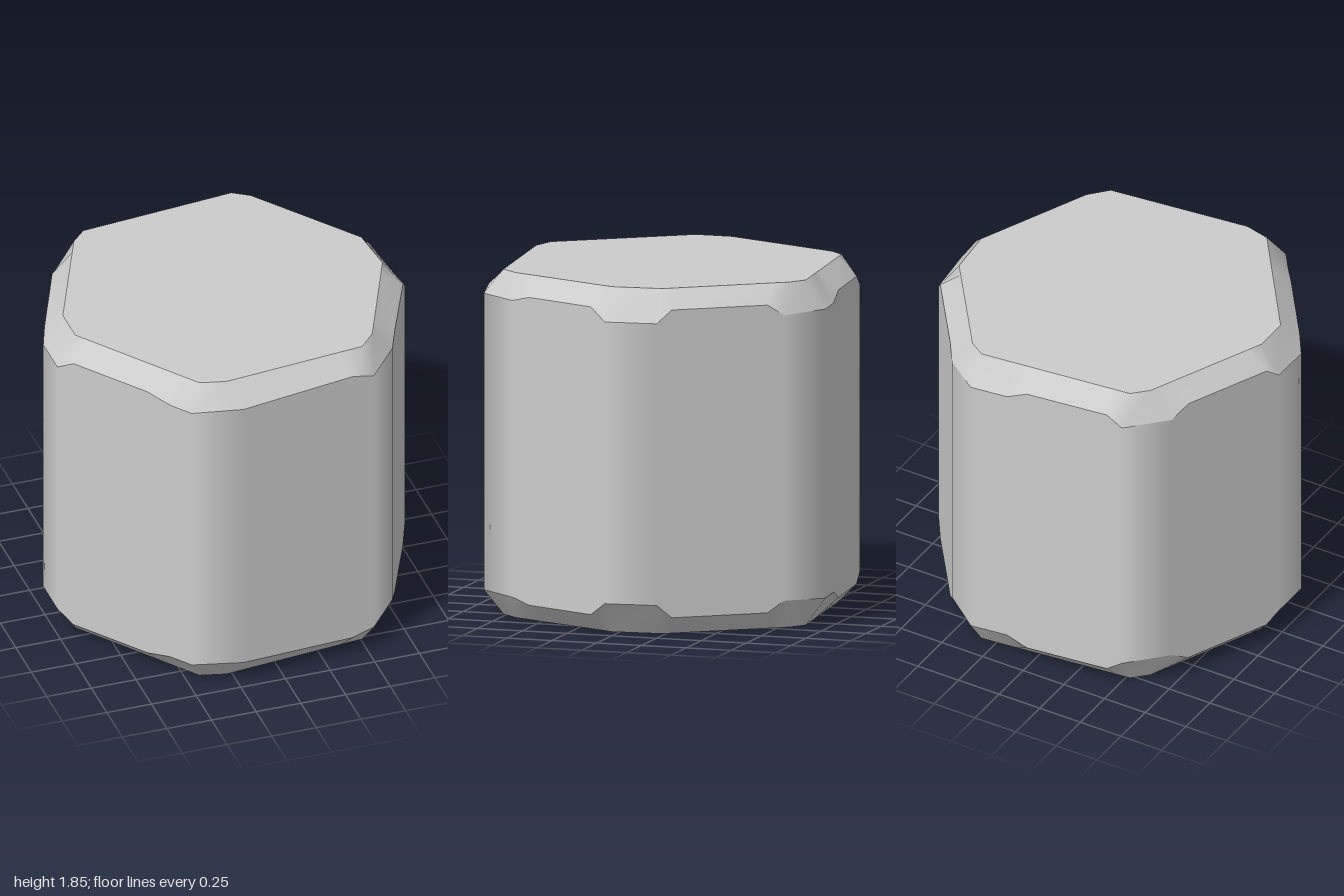
import * as THREE from 'three';

const HEIGHT = 1.85;

// Six main sides, in order around the body; the gaps between them are the narrow corner facets.
// outer/inner: x,z of the side's start and end on the wall and on the cap.
// rim: [position along side, shoulder height]
const SIDES = [
  { outer: [0.55, -0.81, 0.97, -0.24], inner: [0.43, -0.80, 0.85, -0.23],
    rim: [[0, 1.69], [0.13, 1.75], [0.88, 1.75], [1, 1.68]] },
  { outer: [1.0, 0.04, 0.72, 0.65], inner: [0.875, 0.04, 0.60, 0.67],
    rim: [[0, 1.68], [0.15, 1.75], [0.82, 1.75], [1, 1.72]] },
  { outer: [0.54, 0.87, -0.22, 0.96], inner: [0.51, 0.77, -0.28, 0.855],
    rim: [[0, 1.72], [0.16, 1.75], [1, 1.725]] },
  { outer: [-0.49, 0.90, -1.0, 0.20], inner: [-0.42, 0.82, -0.89, 0.17],
    rim: [[0, 1.72], [0.16, 1.72], [0.33, 1.75], [0.88, 1.75], [1, 1.69]] },
  { outer: [-1.0, -0.03, -0.72, -0.67], inner: [-0.89, -0.03, -0.60, -0.69],
    rim: [[0, 1.69], [0.12, 1.75], [0.85, 1.75], [1, 1.69]] },
  { outer: [-0.53, -0.87, 0.34, -0.97], inner: [-0.52, -0.77, 0.34, -0.86],
    rim: [[0, 1.69], [0.1, 1.75], [0.63, 1.75], [0.76, 1.70], [1, 1.70]] },
];

const along = ([x0, z0, x1, z1], t, y) =>
  new THREE.Vector3(x0 + (x1 - x0) * t, y, z0 + (z1 - z0) * t);

const flip = (ring) => ring.map((p) => new THREE.Vector3(p.x, HEIGHT - p.y, p.z));

// Band of quads between a lower and an upper ring
function band(lower, upper) {
  const n = lower.length;
  const index = [];
  for (let i = 0; i < n; i++) {
    const j = (i + 1) % n;
    index.push(j, i, n + i, j, n + i, n + j);
  }
  const geo = new THREE.BufferGeometry().setFromPoints([...lower, ...upper]);
  geo.setIndex(index);
  geo.computeVertexNormals();
  return geo;
}

// Flat cap as a fan around the centre
function cap(ring, up) {
  const n = ring.length;
  const index = [];
  for (let i = 0; i < n; i++) {
    const j = (i + 1) % n;
    index.push(n, up ? j : i, up ? i : j);
  }
  const geo = new THREE.BufferGeometry().setFromPoints([...ring, new THREE.Vector3(0, ring[0].y, 0)]);
  geo.setIndex(index);
  geo.computeVertexNormals();
  return geo;
}

export function createModel() {
  const group = new THREE.Group();
  group.name = 'facetedBlock';
  const material = new THREE.MeshStandardMaterial({ color: 0xcccccc });
  const add = (name, geo) => {
    const mesh = new THREE.Mesh(geo, material);
    mesh.name = name;
    group.add(mesh);
  };

  // Rings for the upper half; the lower half mirrors them
  const shoulder = [], capRing = [], sideNormals = [];
  for (const { outer, inner, rim } of SIDES) {
    const normal = new THREE.Vector3(outer[3] - outer[1], 0, outer[0] - outer[2]).normalize();
    for (const [t, y] of rim) {
      shoulder.push(along(outer, t, y));
      capRing.push(along(inner, t, HEIGHT));
      sideNormals.push(normal);
    }
  }
  const footShoulder = flip(shoulder), footRing = flip(capRing);

  // Walls: sides shade flat, corner facets blend between neighbouring sides
  const wall = band(footShoulder, shoulder);
  [...sideNormals, ...sideNormals].forEach((v, i) => wall.attributes.normal.setXYZ(i, v.x, v.y, v.z));
  add('sideWall', wall);

  // Bevels and caps
  add('topBevel', band(shoulder, capRing));
  add('bottomBevel', band(footRing, footShoulder));
  add('topCap', cap(capRing, true));
  add('bottomCap', cap(footRing, false));
  return group;
}
